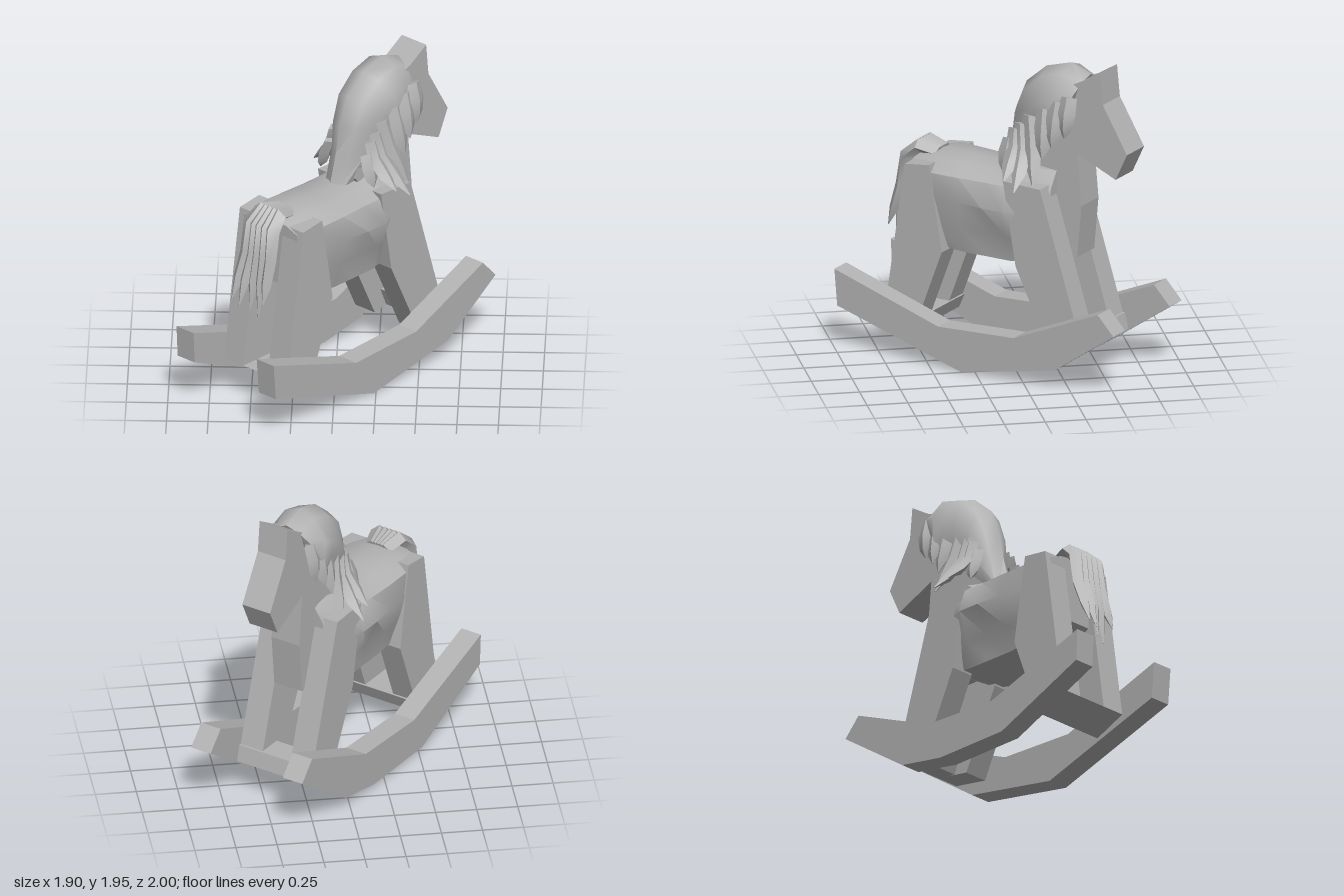
import * as THREE from 'three';
import { toCreasedNormals } from 'three/addons/utils/BufferGeometryUtils.js';

const V = (x, y, z) => new THREE.Vector3(x, y, z);

export function createModel() {
  const grey = new THREE.MeshStandardMaterial({ color: 0xb2b2b2 });
  grey.name = 'plain grey';
  const root = new THREE.Group();
  root.name = 'rockingHorse';
  const horse = new THREE.Group();
  horse.name = 'horse';
  horse.rotation.y = 0.849; // the horse stands diagonally, head along local +x
  root.add(horse);

  const add = (name, geometry) => {
    const mesh = new THREE.Mesh(geometry, grey);
    mesh.name = name;
    horse.add(mesh);
  };

  // side profile (x, y) cut from a board between z0 and z1
  const board = (name, pts, z0, z1) => {
    const shape = new THREE.Shape(pts.map(p => new THREE.Vector2(p[0], p[1])));
    const geo = new THREE.ExtrudeGeometry(shape, { depth: z1 - z0, bevelEnabled: false });
    geo.translate(0, 0, z0);
    add(name, geo);
  };

  // skin over closed rings of equal length, capped at both ends
  const loft = (rings, crease) => {
    const n = rings[0].length, m = rings.length, idx = [];
    for (let i = 0; i < m - 1; i++) {
      for (let j = 0; j < n; j++) {
        const a = i * n + j, b = i * n + (j + 1) % n;
        idx.push(a, b, b + n, a, b + n, a + n);
      }
    }
    for (let j = 1; j < n - 1; j++) {
      const e = (m - 1) * n;
      idx.push(0, j + 1, j, e, e + j, e + j + 1);
    }
    const geo = new THREE.BufferGeometry().setFromPoints(rings.flat());
    geo.setIndex(idx);
    return toCreasedNormals(geo, crease);
  };

  // section [outward, sideways] placed along a path, side axis W
  const sweep = (path, W, section) => path.map((p, i) => {
    const T = path[Math.min(i + 1, path.length - 1)].clone()
      .sub(path[Math.max(i - 1, 0)]).normalize();
    const N = W.clone().cross(T).normalize();
    return section(i).map(([n, w]) => p.clone().addScaledVector(N, n).addScaledVector(W, w));
  });

  // pointed strand of hair
  const lock = (name, path, W, widths, depth) => add(name, loft(sweep(path, W, i => {
    const w = widths[i], d = Math.min(depth, w * 0.8);
    return [[d, 0], [0, w], [-d, 0], [0, -w]];
  }), 0.7));

  // rockers
  const rockerTop = [[0.98, 0.41], [0.87, 0.53], [0.28, 0.28], [-0.25, 0.26], [-0.98, 0.5]];
  board('rightRocker', [[-0.96, 0.27], [-0.095, 0], [0.56, 0.12], ...rockerTop], 0.26, 0.4);
  board('leftRocker', [[-0.97, 0.3], [-0.34, 0.03], [0.18, 0.025], [0.5, 0.08], ...rockerTop],
    -0.4, -0.26);

  // cross bars joining the rockers
  board('frontCrossBar', [[0.5, 0.32], [0.55, 0.2], [0.69, 0.22], [0.665, 0.32]], -0.26, 0.26);
  board('rearCrossBar', [[-0.71, 0.24], [-0.5, 0.15], [-0.46, 0.24]], -0.26, 0.26);

  // legs, cut at the bottom along the rockers
  const frontLeg = [[0.21, 0.68], [0.45, 0.18], [0.68, 0.22], [0.62, 0.42], [0.38, 1.2], [0.12, 1.21]];
  const rearLeg = [[-0.57, 1.2], [-0.71, 0.24], [-0.5, 0.17], [-0.31, 0.68], [-0.4, 1.22]];
  for (const z0 of [0.1, -0.26]) {
    board('frontLeg', frontLeg, z0, z0 + 0.16);
    board('rearLeg', rearLeg, z0, z0 + 0.16);
  }

  // body: [x, top y, top, shoulder, flank, lower and belly half widths, belly y]
  const stations = [
    [-0.58, 1.22, 0.13, 0.22, 0.21, 0.19, 0.17, 0.8],
    [-0.42, 1.26, 0.15, 0.25, 0.25, 0.22, 0.18, 0.7],
    [-0.2, 1.25, 0.15, 0.25, 0.27, 0.22, 0.18, 0.68],
    [-0.02, 1.24, 0.14, 0.24, 0.285, 0.2, 0.18, 0.68],
    [0.13, 1.26, 0.14, 0.24, 0.285, 0.22, 0.18, 0.68],
    [0.26, 1.3, 0.13, 0.22, 0.24, 0.21, 0.16, 0.7],
    [0.4, 1.29, 0.1, 0.17, 0.17, 0.15, 0.12, 0.78],
  ];
  add('body', loft(stations.map(([x, yt, wt, ws, wf, wl, wb, yb]) => {
    const half = [[yt - 0.015, wt], [1.17, ws], [1.02, wf], [0.84, wl], [yb, wb]];
    return [V(x, yt, 0), ...half.map(([y, z]) => V(x, y, z)),
      ...half.slice().reverse().map(([y, z]) => V(x, y, -z))];
  }), 0.7));

  // head, neck and chest
  board('headAndNeck', [
    [0.35, 0.75], [0.54, 0.75], [0.57, 1.08], [0.54, 1.41], [0.81, 1.29], [0.89, 1.46],
    [0.72, 1.75], [0.7, 1.95], [0.57, 1.87], [0.22, 1.72], [0.08, 1.27], [0.2, 1.05],
  ], -0.11, 0.09);

  // mane shell from withers to poll
  const Z = V(0, 0, 1), X = V(1, 0, 0);
  const crest = [[-0.03, 1.25], [0.02, 1.43], [0.05, 1.6], [0.12, 1.77], [0.26, 1.89],
    [0.43, 1.94], [0.57, 1.89]].map(p => V(p[0], p[1], -0.02));
  const maneHalf = [0.08, 0.13, 0.16, 0.18, 0.19, 0.19, 0.15];
  const maneDeep = [0.1, 0.22, 0.28, 0.34, 0.36, 0.34, 0.22];
  add('mane', loft(sweep(crest, Z, i => {
    const h = maneHalf[i], d = maneDeep[i];
    return [[0, 0], [-0.04, h * 0.55], [-d * 0.5, h], [-d, h * 0.98],
      [-d, -h * 0.98], [-d * 0.5, -h], [-0.04, -h * 0.55]];
  }), 1.0));

  // hanging mane strands: root x, y then tip x, y, z
  const strands = [
    [0.52, 1.78, 0.51, 1.53, 0.19], [0.44, 1.74, 0.43, 1.46, 0.21],
    [0.35, 1.68, 0.37, 1.38, 0.22], [0.25, 1.62, 0.34, 1.22, 0.28],
    [0.19, 1.56, 0.26, 1.19, 0.37], [0.15, 1.52, 0.17, 1.24, 0.34],
    [0.11, 1.45, 0.1, 1.25, 0.22],
  ];
  for (const s of [1, -1]) {
    for (const [x0, y0, x1, y1, z1] of strands) {
      lock('maneStrand', [
        V(x0, y0, s * 0.15),
        V(x0 * 0.65 + x1 * 0.35, y0 * 0.6 + y1 * 0.4, s * 0.18),
        V(x0 * 0.3 + x1 * 0.7, y0 * 0.25 + y1 * 0.75, s * (z1 * 0.5 + 0.09)),
        V(x1, y1, s * z1),
      ], X, [0.055, 0.065, 0.05, 0.004], 0.03);
    }
  }

  // tail: a fan of strands, [side spread, tip x, tip y]
  for (const [z, x, y] of [[-0.085, -0.8, 0.72], [-0.04, -0.8, 0.69], [0, -0.76, 0.66],
    [0.045, -0.75, 0.63], [0.09, -0.77, 0.74]]) {
    lock('tailStrand', [
      V(-0.46, 1.23, z * 0.5), V(-0.58, 1.26, z * 0.8), V(-0.66, 1.19, z),
      V(-0.69, 1.0, z * 1.1), V((x - 0.7) / 2, 0.85, z * 1.2), V(x, y, z * 1.3),
    ], Z, [0.05, 0.055, 0.06, 0.05, 0.04, 0.004], 0.045);
  }
  return root;
}
